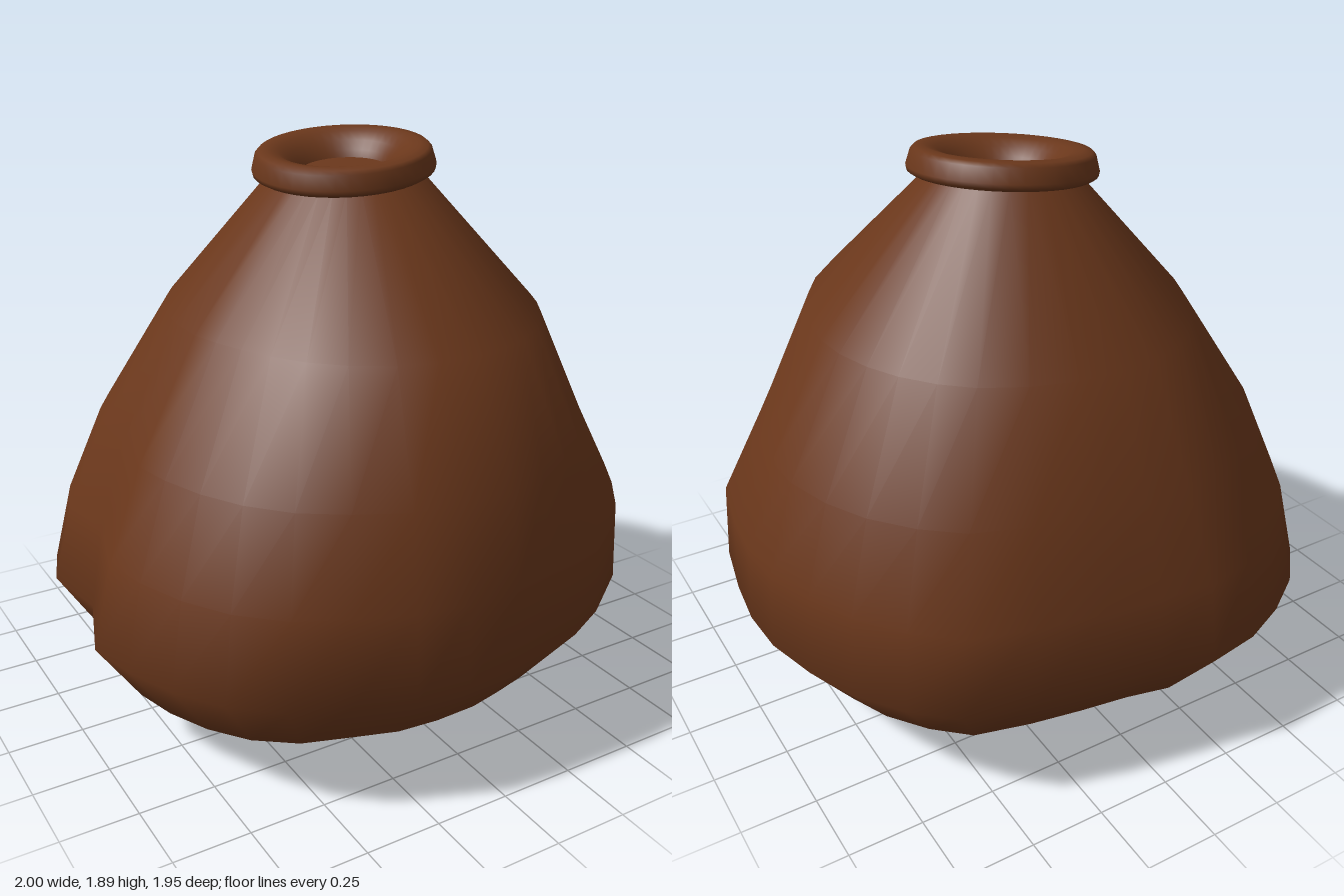
import * as THREE from 'three';

export function createModel() {
  const group = new THREE.Group();
  const clay = new THREE.MeshStandardMaterial({ color: 0x6a371b, side: THREE.DoubleSide });

  // Uneven outline of the belly at its widest, as [x, z], from +x round through the back
  const outline = [
    [1, -0.03], [0.99, -0.2], [0.94, -0.38], [0.87, -0.54], [0.76, -0.69], [0.63, -0.81], [0.41, -0.87], [0.2, -0.91],
    [0, -0.94], [-0.18, -0.98], [-0.36, -0.95], [-0.52, -0.88], [-0.67, -0.78], [-0.79, -0.65], [-0.89, -0.49], [-0.95, -0.32],
    [-0.91, -0.07], [-1, 0.2], [-0.96, 0.37], [-0.89, 0.54], [-0.79, 0.69], [-0.65, 0.81], [-0.48, 0.88], [-0.3, 0.95],
    [-0.13, 0.97], [0.05, 0.965], [0.2, 0.93], [0.34, 0.89], [0.5, 0.81], [0.72, 0.65], [0.84, 0.5], [0.94, 0.36], [0.98, 0.15],
  ];
  const n = outline.length;

  // Rings of the belly: height, scale towards +x, -x, +z, -z, share of the uneven outline,
  // then dents as [angle from +x towards +z in degrees, depth]
  const rings = [
    [0, 0.58, 0.6, 0.56, 0.54, 0.9, []],
    [0.18, 0.83, 0.85, 0.8, 0.82, 1, []],
    [0.41, 1, 1, 1, 1, 1, []],
    [0.68, 0.985, 0.93, 0.98, 0.96, 0.8, []],
    [0.97, 0.89, 0.81, 0.92, 0.84, 0.5, [[32, 0.06]]],
    [1.34, 0.68, 0.62, 0.735, 0.675, 0.2, [[38, 0.03], [150, 0.04], [212, 0.05]]],
  ];
  const rimCentre = new THREE.Vector3(0.035, 1.81, -0.032);

  const positions = [];
  for (const [y, px, nx, pz, nz, uneven, dents] of rings) {
    for (const [x, z] of outline) {
      const a = Math.atan2(z, x);
      const w = Math.cos(a) ** 2;
      const s = w * (x > 0 ? px : nx) + (1 - w) * (z > 0 ? pz : nz);
      let r = s * THREE.MathUtils.lerp(1, Math.hypot(x, z), uneven);
      for (const [angle, depth] of dents) {
        r -= depth * Math.exp(8 * (Math.cos(a - THREE.MathUtils.degToRad(angle)) - 1));
      }
      // the foot lifts slightly at the front right
      const lift = y === 0 ? 0.02 * Math.max(0, Math.cos(a - 2.6)) : 0;
      positions.push(r * Math.cos(a), y + lift, r * Math.sin(a));
    }
  }
  // Tilted round neck that closes the shoulders
  for (const [x, z] of outline) {
    const a = Math.atan2(z, x);
    const dx = 0.24 * Math.cos(a), dz = 0.24 * Math.sin(a);
    positions.push(rimCentre.x + dx, 1.775 + 0.1 * dx - 0.09 * dz, rimCentre.z + dz);
  }
  const indices = [];
  for (let j = 0; j < rings.length; j++) {
    for (let i = 0; i < n; i++) {
      const a = j * n + i, b = j * n + (i + 1) % n;
      indices.push(a, b, b + n, a, b + n, a + n);
    }
  }
  // Base closed by a fan that shares the foot's smooth normals
  const centre = positions.length / 3;
  positions.push(0, 0, 0);
  for (let i = 0; i < n; i++) indices.push(centre, (i + 1) % n, i);

  const bodyGeometry = new THREE.BufferGeometry();
  bodyGeometry.setAttribute('position', new THREE.Float32BufferAttribute(positions, 3));
  bodyGeometry.setIndex(indices);
  bodyGeometry.computeVertexNormals();
  const body = new THREE.Mesh(bodyGeometry, clay);
  body.name = 'potBody';
  group.add(body);

  // Rolled lip and the shallow floor of the mouth share the same tilt
  const mouth = new THREE.Group();
  mouth.name = 'mouth';
  mouth.position.copy(rimCentre);
  mouth.quaternion.setFromUnitVectors(
    new THREE.Vector3(0, 1, 0), new THREE.Vector3(-0.1, 1, 0.09).normalize());

  const lipProfile = [
    [0.2, -0.045], [0.285, -0.042], [0.3, -0.033], [0.303, -0.018], [0.29, 0.028], [0.278, 0.04],
    [0.25, 0.044], [0.215, 0.035], [0.185, 0.012], [0.16, -0.015], [0.147, -0.04],
  ].map(([r, y]) => new THREE.Vector2(r, y));
  const lip = new THREE.Mesh(new THREE.LatheGeometry(lipProfile, 40), clay);
  lip.name = 'rolledLip';
  const floor = new THREE.Mesh(new THREE.CircleGeometry(0.15, 40).rotateX(-Math.PI / 2), clay);
  floor.name = 'mouthFloor';
  floor.position.y = -0.038;
  mouth.add(lip, floor);
  group.add(mouth);

  return group;
}
